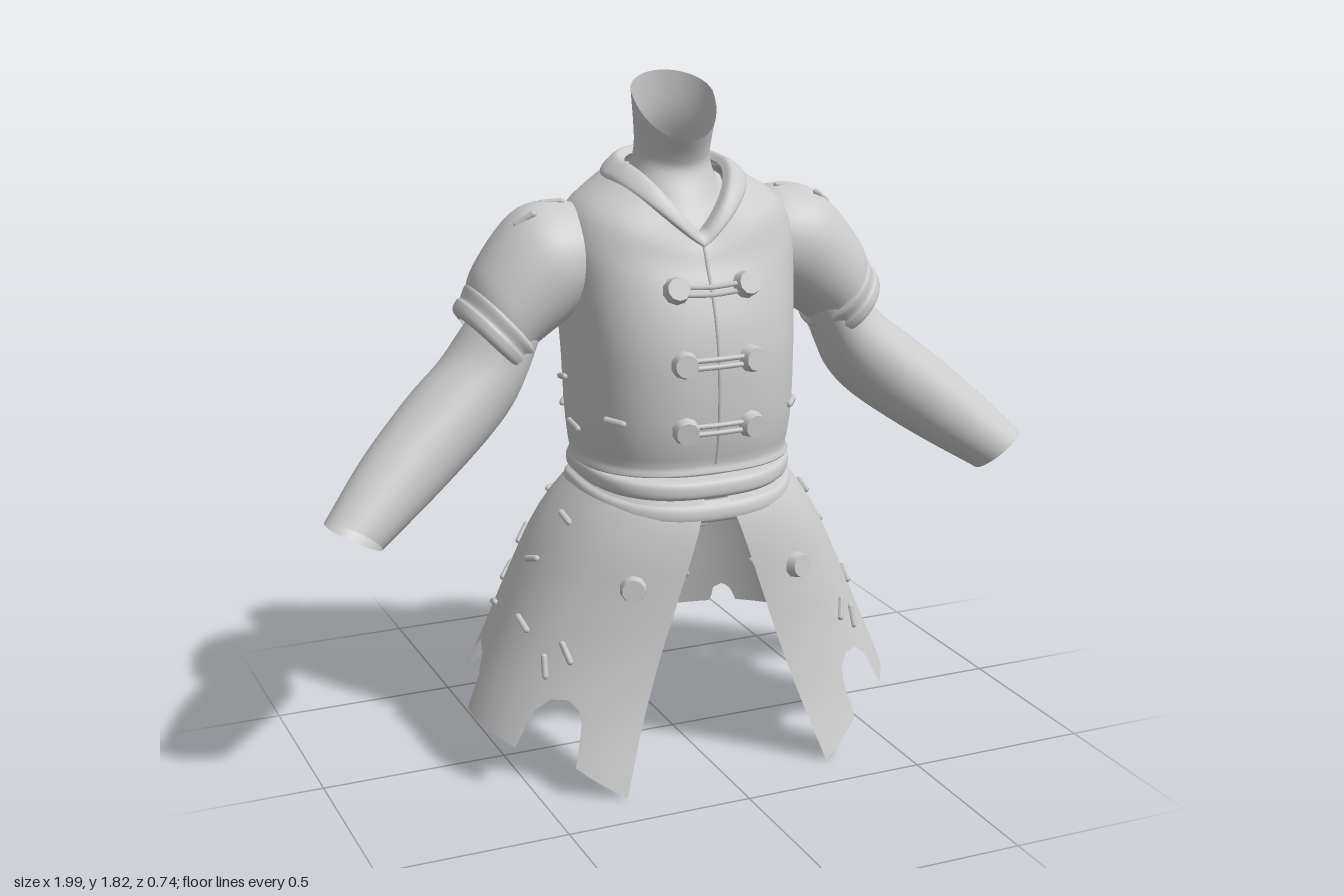
import * as THREE from 'three';
import { mergeVertices } from 'three/addons/utils/BufferGeometryUtils.js';

const grey = new THREE.MeshStandardMaterial({ color: 0xcccccc, side: THREE.DoubleSide });
const rad = THREE.MathUtils.degToRad;

// Smooth lookup through rows of numbers, at the given times (row index by default)
function table(rows, times = rows.map((_, i) => i)) {
  const curve = new THREE.CubicInterpolant(times, rows.flat(), rows[0].length);
  return t => [...curve.evaluate(t)];
}

// Signed power, squares an ellipse off when e < 1
const pow = (x, e) => Math.sign(x) * Math.abs(x) ** e;

// Surface of stacked rings; a row is [halfWidth, frontDepth, backDepth, yFront, ySide, yBack]
function rings(rows, e = 1, vee = false) {
  const at = table(rows);
  return (a, t) => {
    const [w, f, b, yf, ys, yb] = at(t);
    const s = Math.sin(a), c = Math.cos(a);
    const k = vee && c > 0 ? 1 - Math.abs(s) : Math.abs(c);
    return new THREE.Vector3(w * pow(s, e), ys + ((c > 0 ? yf : yb) - ys) * k, (c > 0 ? f : b) * pow(c, e));
  };
}

// Mesh over a grid of fn(u, v), with u and v in 0..1
function surface(name, nu, nv, fn) {
  const pos = [], index = [];
  for (let j = 0; j <= nv; j++)
    for (let i = 0; i <= nu; i++) pos.push(...fn(i / nu, j / nv).toArray());
  for (let j = 0; j < nv; j++)
    for (let i = 0; i < nu; i++) {
      const a = j * (nu + 1) + i, c = a + nu + 1;
      index.push(a, a + 1, c, a + 1, c + 1, c);
    }
  let geo = new THREE.BufferGeometry();
  geo.setAttribute('position', new THREE.Float32BufferAttribute(pos, 3));
  geo.setIndex(index);
  geo = mergeVertices(geo, 1e-5);
  geo.computeVertexNormals();
  const mesh = new THREE.Mesh(geo, grey);
  mesh.name = name;
  return mesh;
}

function ringMesh(name, fn, count, nu = 72) {
  return surface(name, nu, (count - 1) * 4, (u, v) => fn(u * Math.PI * 2, v * (count - 1)));
}

// Limb from sections [x, y, z, tilt, radius, depthRadius]; skew leans the rings forward
function limb(name, rows, side, skew = 0) {
  const at = table(rows);
  return surface(name, 36, (rows.length - 1) * 5, (u, v) => {
    const [x, y, z, a, r, rz] = at(v * (rows.length - 1));
    const c = Math.cos(u * Math.PI * 2) * r, s = Math.sin(u * Math.PI * 2) * rz;
    return new THREE.Vector3(
      side * (x + c * Math.sin(a) - s * skew * Math.cos(a)),
      y + c * Math.cos(a) + s * skew * Math.sin(a), z + s);
  });
}

// Lays a mesh flat on a surface, turned about its normal
function lay(mesh, fn, u, v, turn = 0, lift = 0) {
  const h = 0.01, p = fn(u, v);
  const x = fn(u + h, v).sub(fn(u - h, v)).normalize();
  const n = x.clone().cross(fn(u, v + h).sub(fn(u, v - h))).normalize();
  mesh.quaternion.setFromRotationMatrix(new THREE.Matrix4().makeBasis(x, n.clone().cross(x), n));
  mesh.rotateZ(turn);
  mesh.position.copy(p).addScaledVector(n, lift);
  return mesh;
}

const buttonGeo = new THREE.CylinderGeometry(0.03, 0.037, 0.03, 10).rotateX(Math.PI / 2);
const stitchGeo = new THREE.CapsuleGeometry(0.009, 0.05, 3, 6).rotateZ(Math.PI / 2);
const part = (name, geo) => Object.assign(new THREE.Mesh(geo, grey), { name });

const torsoRows = [
  [0, 0, 0, 0.82, 0.82, 0.82],
  [0.27, 0.265, 0.135, 0.82, 0.82, 0.82],
  [0.288, 0.282, 0.143, 0.85, 0.85, 0.85],
  [0.30, 0.30, 0.15, 0.95, 0.95, 0.95],
  [0.305, 0.30, 0.17, 1.1, 1.1, 1.1],
  [0.31, 0.285, 0.19, 1.2, 1.2, 1.2],
  [0.315, 0.255, 0.205, 1.29, 1.31, 1.31],
  [0.315, 0.225, 0.21, 1.35, 1.41, 1.40],
  [0.28, 0.21, 0.205, 1.385, 1.495, 1.48],
  [0.20, 0.195, 0.195, 1.41, 1.55, 1.55],
  [0.135, 0.18, 0.165, 1.43, 1.585, 1.60],
];
const collarRows = [
  [0.185, 0.19, 0.185, 1.40, 1.55, 1.56],
  [0.18, 0.207, 0.192, 1.405, 1.572, 1.58],
  [0.14, 0.192, 0.172, 1.43, 1.60, 1.615],
  [0.118, 0.16, 0.145, 1.435, 1.585, 1.60],
];
const neckRows = [
  [0, 0, 0, 1.42, 1.47, 1.47],
  [0.13, 0.165, 0.15, 1.40, 1.54, 1.56],
  [0.115, 0.12, 0.14, 1.49, 1.56, 1.585],
  [0.10, 0.078, 0.12, 1.57, 1.61, 1.63],
  [0.103, 0.085, 0.092, 1.61, 1.67, 1.71],
  [0.113, 0.115, 0.08, 1.66, 1.77, 1.82],
];
const beltRows = [
  [0.27, 0.26, 0.14, 0.69, 0.735, 0.745],
  [0.30, 0.30, 0.165, 0.70, 0.745, 0.755],
  [0.30, 0.30, 0.16, 0.735, 0.775, 0.775],
  [0.284, 0.28, 0.145, 0.752, 0.787, 0.787],
  [0.295, 0.29, 0.152, 0.768, 0.80, 0.80],
  [0.293, 0.285, 0.15, 0.80, 0.83, 0.835],
  [0.265, 0.25, 0.13, 0.81, 0.84, 0.845],
];
const sleeveRows = [
  [0.24, 1.36, -0.03, 0.08, 0.135, 0.14],
  [0.30, 1.36, -0.03, 0.15, 0.15, 0.155],
  [0.37, 1.34, -0.02, 0.38, 0.155, 0.155],
  [0.46, 1.255, -0.01, 0.65, 0.128, 0.14],
  [0.495, 1.20, -0.005, 0.72, 0.108, 0.128],
];
const cuffRows = [
  [0.475, 1.222, -0.005, 0.7, 0.105, 0.125],
  [0.482, 1.214, -0.005, 0.7, 0.122, 0.141],
  [0.498, 1.192, -0.005, 0.73, 0.115, 0.136],
  [0.506, 1.182, -0.005, 0.73, 0.119, 0.140],
  [0.52, 1.162, -0.005, 0.74, 0.113, 0.135],
  [0.522, 1.158, -0.005, 0.74, 0.085, 0.105],
];
const armRows = [
  [0.46, 1.20, -0.01, 0.7, 0.085, 0.11],
  [0.50, 1.13, -0.01, 0.74, 0.095, 0.122],
  [0.55, 1.055, -0.005, 0.8, 0.105, 0.125],
  [0.637, 0.975, 0.02, 0.92, 0.115, 0.118],
  [0.78, 0.86, 0.08, 0.98, 0.107, 0.097],
  [0.93, 0.74, 0.155, 0.95, 0.08, 0.072],
];

// Skirt: [halfWidth, frontDepth, backDepth] by height, split open at the front
const skirtSize = table(
  [[0.66, 0.40, 0.42], [0.60, 0.35, 0.38], [0.53, 0.325, 0.34], [0.455, 0.317, 0.30],
    [0.38, 0.312, 0.26], [0.31, 0.29, 0.195], [0.275, 0.265, 0.14]],
  [0, 0.17, 0.33, 0.5, 0.65, 0.75, 0.79]);
// u runs 0..2 from one front edge round the back to the other
function skirtAt(u, y) {
  const [w, f, b] = skirtSize(y);
  const s = u <= 1 ? u : 2 - u, side = u <= 1 ? 1 : -1;
  const edge = Math.asin(Math.max(0.29 - 0.34 * y, 0) ** (1 / 0.85) / w ** (1 / 0.85));
  const a = edge + s * (Math.PI - edge);
  return new THREE.Vector3(side * w * pow(Math.sin(a), 0.85), y, (a < Math.PI / 2 ? f : b) * pow(Math.cos(a), 0.85));
}
// Torn hem outline as [position, height]
const hem = [[0, 0], [0.1, 0.08], [0.108, 0.18], [0.125, 0.225], [0.155, 0.25], [0.195, 0.25], [0.225, 0.215],
  [0.237, 0.12], [0.3, 0.14], [0.435, 0.165], [0.443, 0.25], [0.47, 0.3], [0.52, 0.312], [0.562, 0.275],
  [0.572, 0.185], [0.6, 0.18], [0.8, 0.21], [0.808, 0.25], [0.825, 0.27], [0.845, 0.255], [0.852, 0.21],
  [0.948, 0.21], [0.952, 0.29], [0.97, 0.355], [1, 0.385]];
function hemAt(u) {
  const s = u <= 1 ? u : 2 - u;
  const i = Math.max(1, hem.findIndex(p => p[0] >= s));
  const [a, b] = [hem[i - 1], hem[i]];
  return a[1] + (b[1] - a[1]) * (s - a[0]) / (b[0] - a[0]);
}

export function createModel() {
  const g = new THREE.Group();
  g.name = 'tunic';
  const torsoAt = rings(torsoRows, 0.8, true);
  g.add(ringMesh('torso', torsoAt, torsoRows.length));
  g.add(ringMesh('collar', rings(collarRows, 0.9, true), collarRows.length));
  g.add(ringMesh('neck', rings(neckRows), neckRows.length, 40));
  g.add(ringMesh('belt', rings(beltRows, 0.8), beltRows.length));
  g.add(surface('skirt', 360, 14, (u, v) => {
    const low = hemAt(u * 2);
    return skirtAt(u * 2, low + (0.79 - low) * v);
  }));

  // Front seam
  const seam = [2, 3, 4, 5, 6, 7, 8, 9].map(t => torsoAt(0, t));
  g.add(part('frontSeam', new THREE.TubeGeometry(new THREE.CatmullRomCurve3(seam), 40, 0.005, 6)));

  // Button pairs joined by two cords
  for (const t of [3, 4.2, 6.15]) {
    for (const a of [-13, 13]) g.add(lay(part('button', buttonGeo), torsoAt, rad(a), t, 0, 0.012));
    const ends = [-10, 0, 10].map(a => torsoAt(rad(a), t).add(new THREE.Vector3(0, 0, 0.008)));
    for (const dy of [-0.01, 0.01]) {
      const cord = part('buttonCord', new THREE.TubeGeometry(new THREE.CatmullRomCurve3(ends), 8, 0.007, 6));
      cord.position.y = dy;
      g.add(cord);
    }
  }

  // Stitches as [position, level, turn]
  const torsoStitches = [[52, 3.15, 0.1], [85, 2.8, 0.2], [95, 3.6, -0.2], [118, 3.1, 0.3], [135, 4.2, 0.1],
    [150, 2.7, -0.2], [155, 5.4, 1.4], [163, 4.6, 0.2], [128, 5.8, -0.3]];
  const skirtStitches = [[0.40, 0.69, 0.3], [0.44, 0.57, -0.3], [0.62, 0.58, 0.9], [0.36, 0.42, 0.5],
    [0.24, 0.33, 1.4], [0.54, 0.41, -0.3], [0.63, 0.47, 0.7], [0.2, 0.37, 1.1], [0.74, 0.33, 1],
    [0.78, 0.6, 0.1], [0.87, 0.47, -0.3], [0.92, 0.66, 0.2], [0.9, 0.33, 1.2], [0.7, 0.69, -0.2]];

  for (const side of [1, -1]) {
    g.add(limb('sleeve', sleeveRows, side), limb('cuff', cuffRows, side), limb('arm', armRows, side, 0.35));
    const around = s => (side > 0 ? s : 2 - s);
    g.add(lay(part('skirtButton', buttonGeo), skirtAt, around(0.105), 0.54, 0, 0.01));
    for (const [a, t, turn] of torsoStitches)
      g.add(lay(part('stitch', stitchGeo), torsoAt, rad(a * side), t, turn * side, 0.003));
    for (const [s, y, turn] of skirtStitches)
      g.add(lay(part('stitch', stitchGeo), skirtAt, around(s), y, turn * side, 0.003));
    // Shoulder stitches
    for (const [x, y, z, turn] of [[0.33, 1.505, -0.02, 0.1], [0.42, 1.475, 0.03, 0.6], [0.45, 1.43, -0.08, 0.9]]) {
      const s = part('shoulderStitch', stitchGeo);
      s.position.set(x * side, y, z);
      s.rotation.set(0, 0.4 * side, -turn * side);
      g.add(s);
    }
  }
  return g;
}
